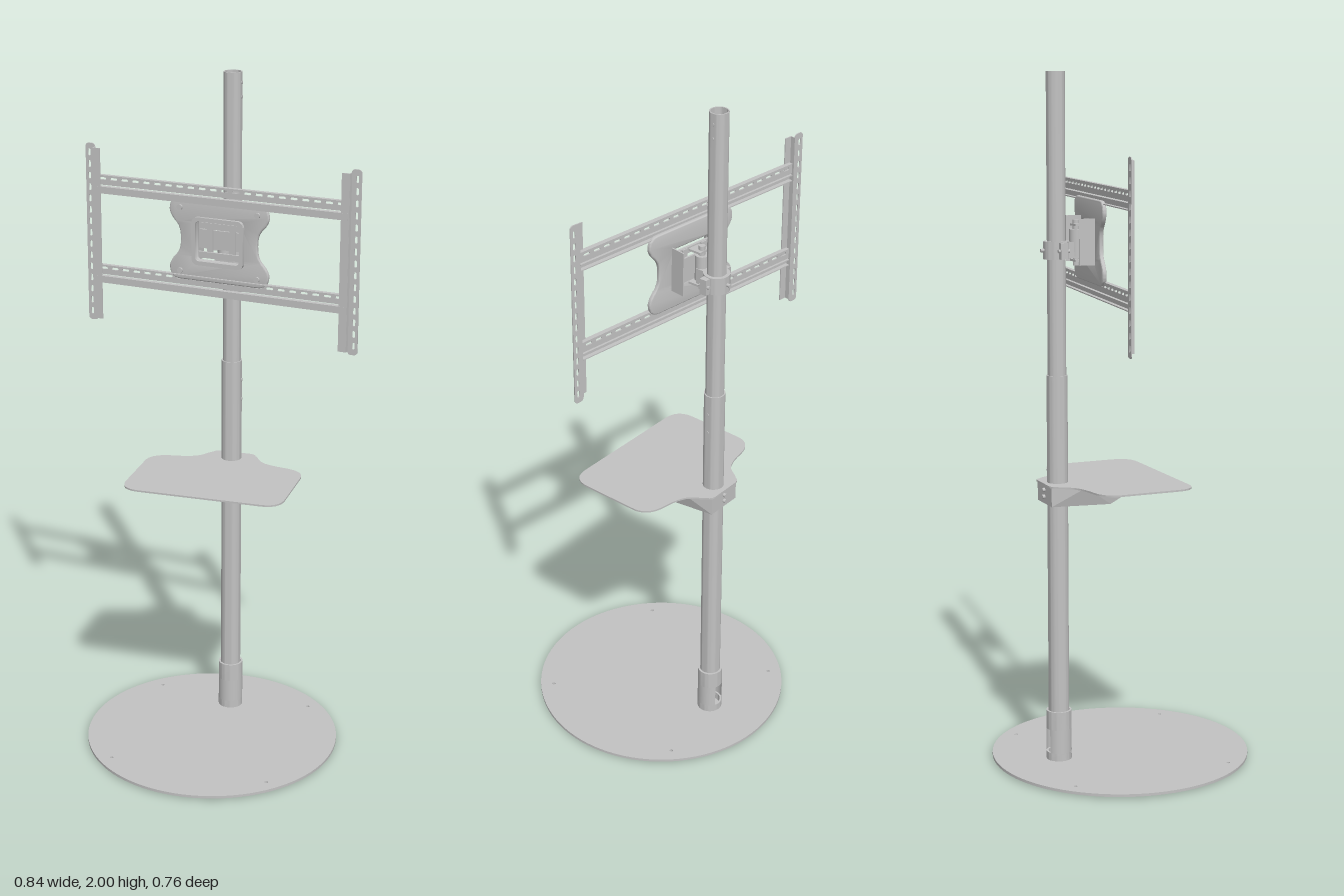
import * as THREE from 'three';
import { toCreasedNormals } from 'three/addons/utils/BufferGeometryUtils.js';
import { ConvexGeometry } from 'three/addons/geometries/ConvexGeometry.js';

const steel = new THREE.MeshStandardMaterial({ color: 0xc2c2c2, side: THREE.DoubleSide });
steel.name = 'grey steel';
const PX = 0.01, PZ = -0.195; // pole axis

function add(parent, name, geo, x = 0, y = 0, z = 0) {
  const mesh = new THREE.Mesh(geo, steel);
  mesh.name = name;
  mesh.position.set(x, y, z);
  parent.add(mesh);
  return mesh;
}
const box = (w, h, d) => new THREE.BoxGeometry(w, h, d);
const rod = (r, h) => new THREE.CylinderGeometry(r, r, h, 24);

// hollow upright tube
function tube(ro, ri, y0, y1) {
  const p = [[ri, y0], [ro, y0], [ro, y1], [ri, y1], [ri, y0]].map(a => new THREE.Vector2(...a));
  return toCreasedNormals(new THREE.LatheGeometry(p, 40), 0.6);
}
function plate(shape, depth, curveSegments = 12) {
  return toCreasedNormals(new THREE.ExtrudeGeometry(shape, { depth, bevelEnabled: false, curveSegments }), 0.5);
}
function roundRect(w, h, r, cx = 0, cy = 0, Type = THREE.Shape) {
  const s = new Type(), a = w / 2 - r, b = h / 2 - r;
  s.absarc(cx + a, cy + b, r, 0, Math.PI / 2);
  s.absarc(cx - a, cy + b, r, Math.PI / 2, Math.PI);
  s.absarc(cx - a, cy - b, r, Math.PI, Math.PI * 1.5);
  s.absarc(cx + a, cy - b, r, Math.PI * 1.5, Math.PI * 2);
  s.closePath();
  return s;
}
const circleHole = (x, y, r) => new THREE.Path().absarc(x, y, r, 0, Math.PI * 2, true);

function buildBase(root) {
  const g = new THREE.Group();
  g.name = 'base';
  const disc = new THREE.Shape().absarc(0, 0, 0.379, 0, Math.PI * 2);
  for (const sx of [-1, 1]) for (const sz of [-1, 1]) {
    disc.holes.push(circleHole(sx * 0.24, sz * 0.24, 0.005));
    add(g, 'foot', tube(0.018, 0.005, 0, 0.005), sx * 0.24, 0, sz * 0.24);
  }
  add(g, 'baseDisc', plate(disc, 0.008, 48).rotateX(-Math.PI / 2), 0, 0.004, 0);
  g.position.x = PX;
  root.add(g);
}

function buildPole(root) {
  const g = new THREE.Group();
  g.name = 'pole';
  // socket with a cable slot at the back
  add(g, 'socketBottom', tube(0.037, 0.031, 0.012, 0.035));
  add(g, 'socketTop', tube(0.037, 0.031, 0.105, 0.16));
  const wall = new THREE.CylinderGeometry(0.037, 0.037, 0.07, 40, 1, true, Math.PI + 0.42, Math.PI * 2 - 0.84);
  add(g, 'socketWall', wall, 0, 0.07, 0);
  add(g, 'lowerTube', tube(0.03, 0.026, 0.1, 1.15));
  add(g, 'upperTube', tube(0.0265, 0.023, 1.0, 2));
  for (const [y, r] of [[1.03, 0.03], [1.09, 0.03], [1.93, 0.0265], [1.97, 0.0265]])
    add(g, 'tubeScrew', rod(0.005, 0.003).rotateZ(Math.PI / 2), r, y, 0);
  g.position.set(PX, 0, PZ);
  root.add(g);
}

function buildShelf(root) {
  const g = new THREE.Group();
  g.name = 'shelf';
  // outline drawn with y pointing to the back
  const s = new THREE.Shape();
  s.moveTo(-0.18, -0.135);
  s.lineTo(0.18, -0.135);
  s.quadraticCurveTo(0.24, -0.135, 0.24, -0.075);
  s.lineTo(0.24, 0.095);
  s.quadraticCurveTo(0.24, 0.147, 0.18, 0.157);
  s.bezierCurveTo(0.08, 0.17, 0.095, 0.195, 0.067, 0.225);
  s.quadraticCurveTo(0.06, 0.24, 0.045, 0.24);
  s.lineTo(-0.045, 0.24);
  s.quadraticCurveTo(-0.06, 0.24, -0.067, 0.225);
  s.bezierCurveTo(-0.095, 0.195, -0.08, 0.17, -0.18, 0.157);
  s.quadraticCurveTo(-0.24, 0.147, -0.24, 0.095);
  s.lineTo(-0.24, -0.075);
  s.quadraticCurveTo(-0.24, -0.135, -0.18, -0.135);
  add(g, 'shelfPlate', plate(s, 0.005).rotateX(-Math.PI / 2), 0, 0.835, 0);
  // tapered support under the plate
  const pts = [];
  for (const k of [-1, 1])
    for (const [x, y, z] of [[0.1, 0.835, 0.025], [0.082, 0.78, -0.065], [0.055, 0.78, -0.235],
      [0.055, 0.835, -0.235], [0.085, 0.835, -0.14], [0.07, 0.78, -0.14]])
      pts.push(new THREE.Vector3(k * x, y, z));
  add(g, 'shelfSupport', new ConvexGeometry(pts));
  for (const y of [0.8, 0.82])
    add(g, 'supportScrew', rod(0.006, 0.008).rotateX(Math.PI / 2), 0, y, -0.239);
  g.position.x = PX;
  root.add(g);
}

// slotted strip with a deeper lip below it
function buildRail(parent, y) {
  const g = new THREE.Group();
  g.name = 'rail';
  const s = roundRect(0.78, 0.03, 0.003);
  for (let i = 0; i < 22; i++)
    s.holes.push(roundRect(0.022, 0.007, 0.0034, -0.3675 + i * 0.035, 0.004, THREE.Path));
  add(g, 'slottedStrip', plate(s, 0.004, 4), 0, 0.012, -0.006);
  add(g, 'railLip', box(0.78, 0.018, 0.004), 0, -0.017, 0.006);
  for (const ly of [-0.008, -0.025]) add(g, 'railFlange', box(0.78, 0.003, 0.016), 0, ly, 0);
  add(g, 'railTopFlange', box(0.78, 0.003, 0.014), 0, 0.026, 0);
  g.position.y = y;
  parent.add(g);
}

// upright screen bracket, outer edge towards side k
function buildUpright(parent, k) {
  const g = new THREE.Group();
  g.name = 'screenBracket';
  const s = roundRect(0.03, 0.53, 0.01);
  for (let i = 0; i < 15; i++)
    s.holes.push(roundRect(0.008, 0.02, 0.0038, k * 0.003, -0.238 + i * 0.034, THREE.Path));
  add(g, 'slottedFlange', plate(s, 0.003, 4), k * 0.409, 0, -0.01);
  add(g, 'bracketWeb', box(0.003, 0.51, 0.016), k * 0.394, 0, -0.002);
  add(g, 'bracketFace', box(0.024, 0.51, 0.003), k * 0.383, 0, 0.006);
  parent.add(g);
}

function buildMount(root) {
  const g = new THREE.Group();
  g.name = 'screenMount';
  g.position.set(0, 1.515, -0.09);
  g.rotation.y = -0.128;
  for (const y of [0.15, -0.117]) buildRail(g, y);
  for (const k of [-1, 1]) buildUpright(g, k);

  // waisted centre plate with a window
  const s = new THREE.Shape();
  s.moveTo(-0.12, -0.1);
  s.lineTo(0.12, -0.1);
  s.quadraticCurveTo(0.152, -0.1, 0.15, -0.065);
  s.bezierCurveTo(0.14, -0.03, 0.115, -0.04, 0.115, 0.016);
  s.bezierCurveTo(0.115, 0.072, 0.14, 0.062, 0.15, 0.097);
  s.quadraticCurveTo(0.152, 0.13, 0.12, 0.13);
  s.lineTo(-0.12, 0.13);
  s.quadraticCurveTo(-0.152, 0.13, -0.15, 0.097);
  s.bezierCurveTo(-0.14, 0.062, -0.115, 0.072, -0.115, 0.016);
  s.bezierCurveTo(-0.115, -0.04, -0.14, -0.03, -0.15, -0.065);
  s.quadraticCurveTo(-0.152, -0.1, -0.12, -0.1);
  s.holes.push(roundRect(0.14, 0.12, 0.012, 0, 0.016, THREE.Path));
  const body = new THREE.ExtrudeGeometry(s, { depth: 0.004, bevelThickness: 0.004, bevelSize: 0.004, bevelSegments: 3 });
  add(g, 'centrePlate', toCreasedNormals(body, 0.7), 0, 0, -0.008);
  // window surround, bars and tilt cheeks
  const rim = roundRect(0.16, 0.14, 0.018, 0, 0.016);
  rim.holes.push(roundRect(0.136, 0.116, 0.01, 0, 0.016, THREE.Path));
  add(g, 'windowRim', plate(rim, 0.01), 0, 0, 0.001);
  add(g, 'upperBar', box(0.14, 0.018, 0.008), 0, 0.058, -0.015);
  add(g, 'lowerBar', box(0.14, 0.018, 0.008), 0, -0.028, -0.015);
  for (const k of [-1, 1]) {
    add(g, 'tiltCheek', box(0.004, 0.13, 0.045), k * 0.073, 0.016, -0.035);
    add(g, 'innerStrap', box(0.018, 0.1, 0.006), k * 0.035, 0.016, -0.02);
    for (const y of [-0.078, 0.108])
      add(g, 'plateBolt', rod(0.008, 0.006).rotateX(Math.PI / 2), k * 0.12, y, 0.003);
  }
  add(g, 'tiltPlate', box(0.15, 0.055, 0.006), 0, 0.016, -0.026);
  root.add(g);
}

function buildArm(root) {
  const g = new THREE.Group();
  g.name = 'arm';
  // clamp around the pole with bolted ears
  add(g, 'clampRing', tube(0.037, 0.026, 1.48, 1.53), PX, 0, PZ);
  for (const k of [-1, 1]) {
    add(g, 'clampEar', box(0.02, 0.046, 0.022), PX + k * 0.043, 1.505, PZ + 0.005);
    add(g, 'clampBolt', rod(0.005, 0.034).rotateX(Math.PI / 2), PX + k * 0.045, 1.505, PZ + 0.005);
  }
  add(g, 'clampScrew', rod(0.005, 0.012).rotateX(Math.PI / 2), PX, 1.505, PZ - 0.041);
  // swivel knuckle
  add(g, 'armBlock', box(0.036, 0.045, 0.035), 0.006, 1.505, -0.152);
  add(g, 'swivelPin', rod(0.009, 0.13), 0.003, 1.525, -0.138);
  add(g, 'knuckle', rod(0.019, 0.075), 0.003, 1.525, -0.138);
  for (const y of [1.475, 1.575])
    add(g, 'swivelTab', box(0.04, 0.006, 0.04), 0.003, y, -0.128);
  root.add(g);
}

export function createModel() {
  const root = new THREE.Group();
  root.name = 'screenStand';
  buildBase(root);
  buildPole(root);
  buildShelf(root);
  buildMount(root);
  buildArm(root);
  return root;
}
